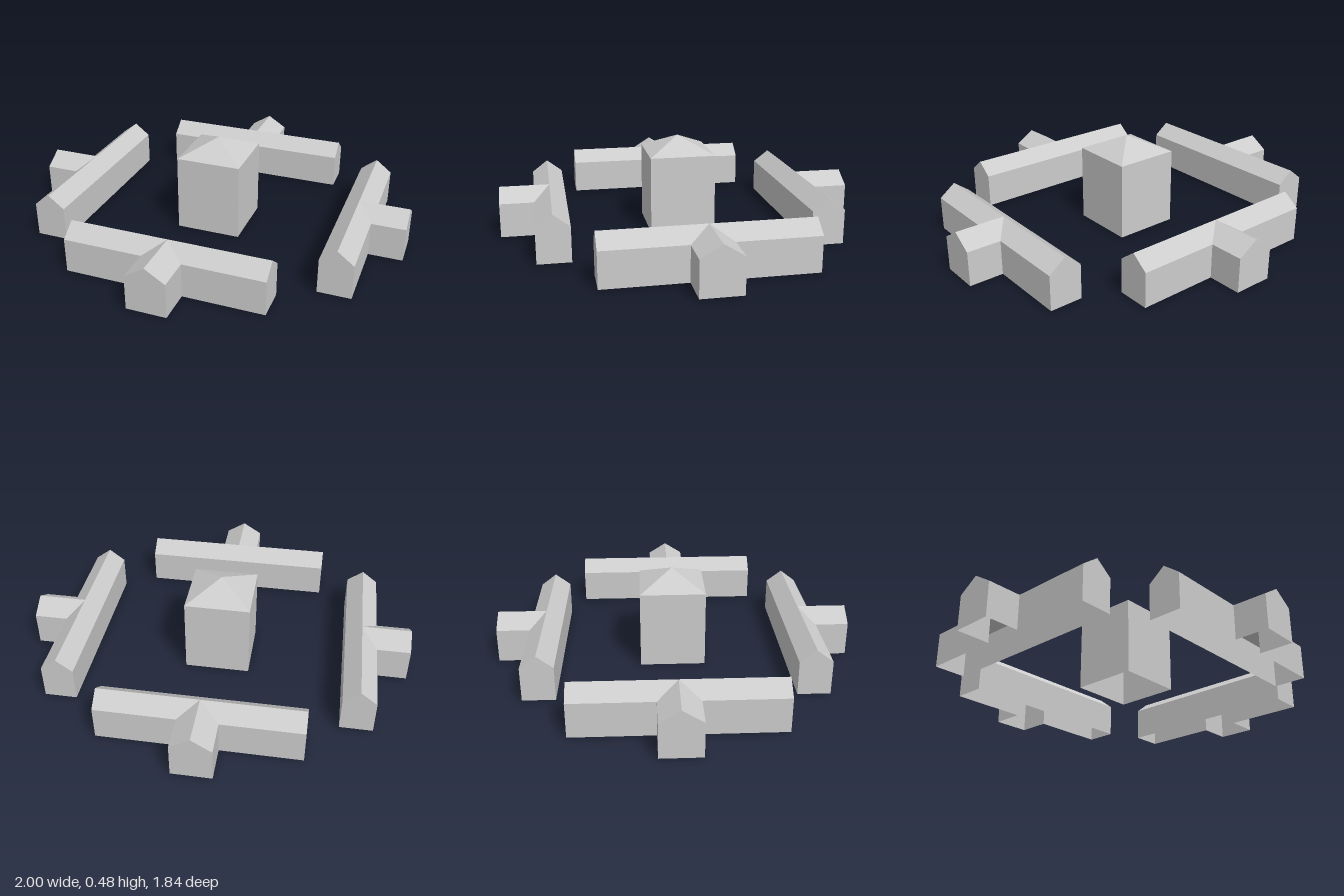
import * as THREE from 'three';

const stone = new THREE.MeshStandardMaterial({ color: 0xcccccc, side: THREE.DoubleSide });
stone.name = 'plain grey';

// Joins flat convex panels (lists of corners) into one sharp-edged shell
function shell(panels) {
  const pos = [];
  for (const p of panels) {
    for (let i = 1; i < p.length - 1; i++) pos.push(...p[0], ...p[i], ...p[i + 1]);
  }
  const geo = new THREE.BufferGeometry();
  geo.setAttribute('position', new THREE.Float32BufferAttribute(pos, 3));
  geo.computeVertexNormals();
  return geo;
}

// Mirrors a panel across x = 0, keeping it facing outwards
const mirrorX = (p) => p.map(([x, y, z]) => [-x, y, z]).reverse();

// Gabled wing along x with a gabled porch towards +z, open underneath
function wingGeometry() {
  const L = 0.503, d = 0.082; // half length and half depth of the wing
  const w = 0.1, a = 0.254; // half width and reach of the porch
  const b = 0.005, e = 0.18, r = 0.243; // base, eave and ridge heights
  const side = [
    [[w, b, d], [L, b, d], [L, e, d], [w, e, d]], // outer wall
    [[L, e, d], [L, r, 0], [0, r, 0], [w, e, d]], // outer roof up to the valley
    [[L, b, d], [L, b, -d], [L, e, -d], [L, r, 0], [L, e, d]], // end gable
    [[w, b, a], [w, b, d], [w, e, d], [w, e, a]], // porch wall
    [[w, e, a], [w, e, d], [0, r, 0], [0, r, a]], // porch roof
  ];
  return shell([
    ...side,
    ...side.map(mirrorX),
    [[L, b, -d], [-L, b, -d], [-L, e, -d], [L, e, -d]], // inner wall
    [[L, e, -d], [-L, e, -d], [-L, r, 0], [L, r, 0]], // inner roof
    [[-w, b, a], [w, b, a], [w, e, a], [0, r, a], [-w, e, a]], // porch gable
  ]);
}

// Square tower with a pyramid roof, open underneath
function towerGeometry() {
  const h = 0.167, e = 0.396, top = 0.478;
  const panels = [];
  for (let i = 0; i < 4; i++) {
    const c = Math.round(Math.cos(i * Math.PI / 2)), s = Math.round(Math.sin(i * Math.PI / 2));
    const turn = ([x, y, z]) => [x * c + z * s, y, z * c - x * s];
    panels.push(
      [[-h, 0, h], [h, 0, h], [h, e, h], [-h, e, h]].map(turn),
      [[-h, e, h], [h, e, h], [0, top, 0]].map(turn),
    );
  }
  return shell(panels);
}

export function createModel() {
  const model = new THREE.Group();
  model.name = 'courtyardBuildings';
  const off = -0.007; // the buildings sit slightly off centre

  const tower = new THREE.Mesh(towerGeometry(), stone);
  tower.name = 'centralTower';
  tower.position.set(off, 0, off);
  model.add(tower);

  // Four wings around the tower, porches facing outwards
  const wing = wingGeometry();
  const places = [
    ['frontWing', off, 0.667, 0],
    ['leftWing', 0.746, off, Math.PI / 2],
    ['backWing', off, -0.667, Math.PI],
    ['rightWing', -0.746, off, -Math.PI / 2],
  ];
  for (const [name, x, z, angle] of places) {
    const mesh = new THREE.Mesh(wing, stone);
    mesh.name = name;
    mesh.position.set(x, 0, z);
    mesh.rotation.y = angle;
    model.add(mesh);
  }
  return model;
}
